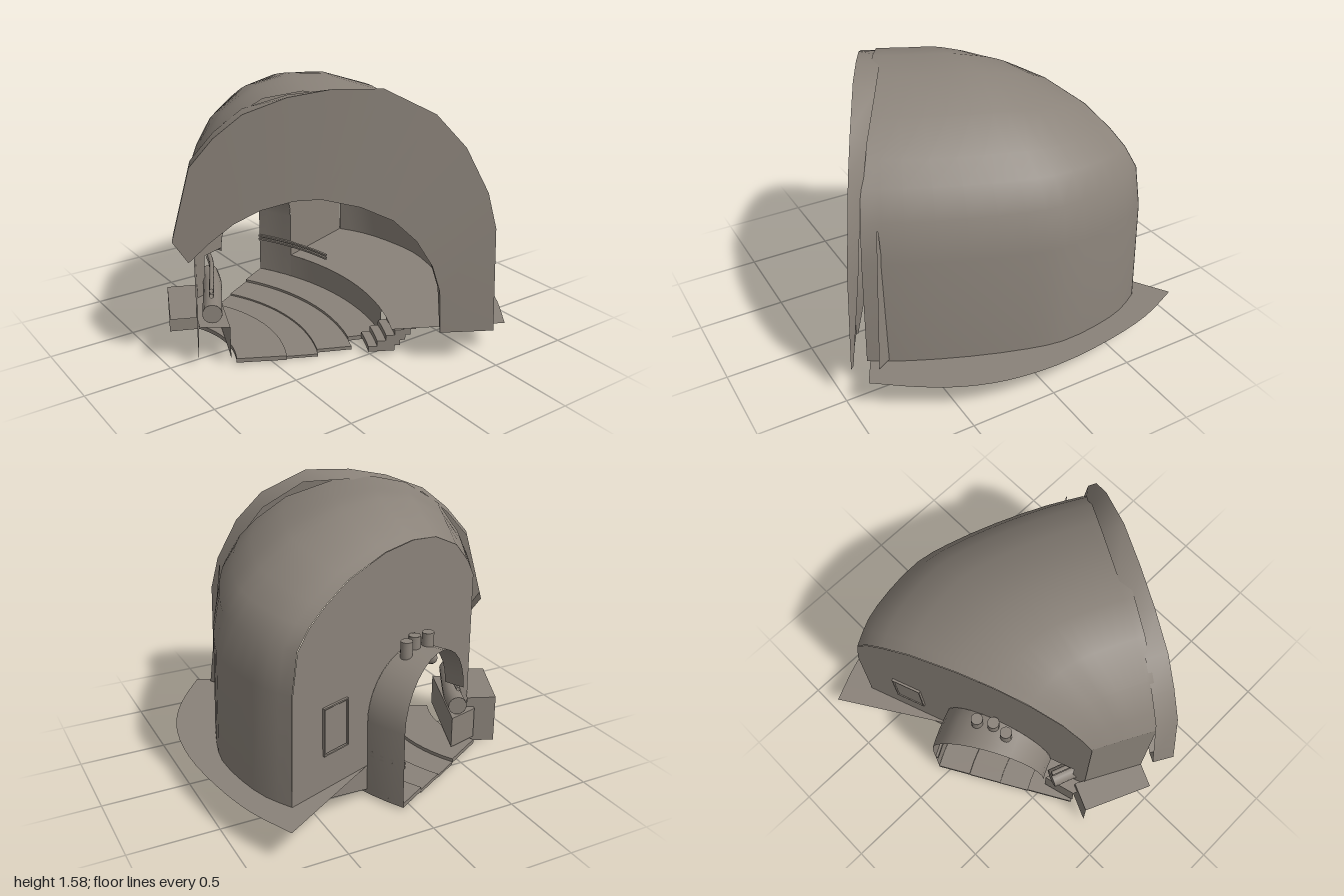
import * as THREE from 'three';
import { toCreasedNormals } from 'three/addons/utils/BufferGeometryUtils.js';

const CX = -1.155, CZ = -0.082;          // centre of the curved passage
const DEG = Math.PI / 180;
const lerp = THREE.MathUtils.lerp;

// point at radius r, angle a (degrees) and height y about the passage centre
const polar = (r, a, y) => [CX + r * Math.cos(a * DEG), y, CZ + r * Math.sin(a * DEG)];

export function createModel() {
  const model = new THREE.Group();
  const stone = new THREE.MeshStandardMaterial({ color: 0x8a8279, side: THREE.DoubleSide });
  stone.name = 'warm grey stone';

  const add = (name, geometry, parent = model) => {
    const mesh = new THREE.Mesh(geometry, stone);
    mesh.name = name;
    parent.add(mesh);
    return mesh;
  };

  // surface through a list of equally long cross-sections
  const loft = (sections, crease = 0.6) => {
    const m = sections[0].length, index = [];
    for (let i = 0; i < sections.length - 1; i++)
      for (let j = 0; j < m - 1; j++) {
        const a = i * m + j, b = a + m;
        index.push(a, a + 1, b, b, a + 1, b + 1);
      }
    const g = new THREE.BufferGeometry();
    g.setAttribute('position', new THREE.Float32BufferAttribute(sections.flat(2), 3));
    g.setIndex(index);
    return toCreasedNormals(g, crease);
  };

  // profile of [radius, height] points swept between two angles
  const sweepSections = (profile, a0, a1, n) => {
    const sections = [];
    for (let i = 0; i <= n; i++)
      sections.push(profile.map(([r, y]) => polar(r, lerp(a0, a1, i / n), y)));
    return sections;
  };
  const sweep = (profile, a0, a1, n = 12) => loft(sweepSections(profile, a0, a1, n));

  // solid curved bar of rectangular section, with closed ends
  const bar = (r0, r1, y0, y1, a0, a1, n = 12) => {
    const profile = [[r0, y0], [r0, y1], [r1, y1], [r1, y0], [r0, y0]];
    const cap = a => profile.map(() => polar((r0 + r1) / 2, a, (y0 + y1) / 2));
    return loft([cap(a0), ...sweepSections(profile, a0, a1, n), cap(a1)]);
  };
  const curve = points => new THREE.CatmullRomCurve3(points.map(p => new THREE.Vector3(...p)));
  const tube = (points, radius, sides = 14) => new THREE.TubeGeometry(curve(points), 16, radius, sides);

  // ---- domed hull ----
  const outerEdge = curve([
    [0.69, 0, -0.75], [0.77, 0, -0.6], [0.82, 0, -0.4], [0.84, 0, -0.15],
    [0.8, 0, 0.05], [0.7, 0, 0.35], [0.57, 0, 0.65], [0.46, 0, 0.85],
  ]);
  const hullProfile = [[1.006, 0.19], [0.993, 0.8], [0.965, 1.03], [0.91, 1.17], [0.84, 1.28], [0.72, 1.42],
    [0.53, 1.53], [0.38, 1.555], [0.25, 1.52], [0.12, 1.395], [0.04, 1.22], [0, 1.08]];
  const hullHeight = (y, t) =>
    y <= 1.03 ? y : 1.03 + (y - 1.03) * (0.7 + 0.29 * Math.sin(Math.min(1, 1.5 * t) * Math.PI / 2));
  const hullSections = [];
  for (let i = 0; i <= 14; i++) {
    const t = i / 14, o = outerEdge.getPoint(t);
    const ix = lerp(-0.69, -0.86, t), iz = lerp(-0.25, 0.07, t);
    hullSections.push(hullProfile.map(([s, y]) => [lerp(ix, o.x, s), hullHeight(y, t), lerp(iz, o.z, s)]));
  }
  add('hull', loft(hullSections, 0.8));
  add('innerSideWall', loft(hullSections.map(section => {
    const top = section[section.length - 1];
    return [[top[0], 0.05, top[2]], top];
  })));

  // ---- back wall with arched doorway ----
  const wall = new THREE.Shape();
  wall.moveTo(0.49, 0.05);
  wall.lineTo(0.57, 0.05);
  wall.lineTo(0.57, 0.48);
  wall.lineTo(0.72, 0.48);
  wall.absarc(1.06, 0.46, 0.34, Math.PI, 0, true);
  wall.lineTo(1.4, 0.04);
  for (const [s, y] of hullProfile) wall.lineTo(lerp(0.49, 1.962, s), hullHeight(y, 0));
  const backWall = new THREE.Group();
  backWall.name = 'backWall';
  backWall.position.set(CX, 0, CZ);
  backWall.rotation.y = 20 * DEG;
  model.add(backWall);
  add('backWallPanel', new THREE.ShapeGeometry(wall, 12), backWall);

  // hatch and its frame on the back wall
  add('hatch', new THREE.BoxGeometry(0.16, 0.25, 0.009), backWall).position.set(1.655, 0.53, -0.004);
  for (const s of [-1, 1]) {
    add('hatchPost', new THREE.BoxGeometry(0.008, 0.276, 0.014), backWall).position.set(1.655 + s * 0.087, 0.53, -0.007);
    add('hatchRail', new THREE.BoxGeometry(0.182, 0.008, 0.014), backWall).position.set(1.655, 0.53 + s * 0.134, -0.007);
  }

  // ---- vaulted rear passage ----
  const vault = [[0.72, 0.48]];
  for (let i = 0; i <= 14; i++) {
    const a = Math.PI * (1 - i / 14);
    vault.push([1.06 + 0.34 * Math.cos(a), 0.46 + 0.34 * Math.sin(a)]);
  }
  vault.push([1.4, 0.04]);
  add('rearVault', sweep(vault, -30, -20, 4));

  // ---- front portal ring: outer and inner outline, rim depth, chamfer and lean at each point ----
  const outer = [[-1, 0.79], [-0.91, 1.19], [-0.8, 1.34], [-0.67, 1.46], [-0.47, 1.54], [-0.27, 1.575],
    [-0.04, 1.57], [0.2, 1.43], [0.34, 1.25], [0.45, 1.0], [0.49, 0.8], [0.5, 0.2]];
  const inner = [[-0.93, 0.67], [-0.83, 0.78], [-0.72, 0.88], [-0.6, 0.95], [-0.45, 0.995], [-0.33, 1],
    [-0.15, 0.95], [0, 0.87], [0.11, 0.75], [0.19, 0.6], [0.23, 0.45], [0.24, 0.2]];
  const rimDepth = [0.12, 0.12, 0.12, 0.12, 0.13, 0.14, 0.14, 0.11, 0.09, 0.07, 0.06, 0.01];
  const chamfer = [0, 0, 0, 0, 0.03, 0.06, 0.08, 0.14, 0.18, 0.2, 0.2, 0.1];
  const lean = [0, 0, 0, 0, 0.01, 0.02, 0.03, 0.035, 0.03, 0.025, 0.015, 0];
  const onPortal = ([x, y], back = 0) => [x + back * 0.5, y, 0.677 + 0.569 * x - back * 0.866];
  const front = outer.map(([x, y], i) => [x, y, 0.677 + 0.569 * x - lean[i]]);
  const frontIn = inner.map(p => onPortal(p));
  const back = outer.map(([x, y], i) => onPortal(
    [lerp(x, inner[i][0], chamfer[i]), lerp(y, inner[i][1], chamfer[i])], rimDepth[i]));
  const backIn = inner.map((p, i) => onPortal(p, Math.min(0.1, rimDepth[i])));
  add('portalFace', loft([front, frontIn]));
  add('portalOuterRim', loft([front, back]));
  add('portalInnerRim', loft([frontIn, backIn]));
  add('portalEnd', loft([[front[0], back[0]], [frontIn[0], backIn[0]]]));
  add('sideFin', loft([
    [[0.51, 0.2, 0.72], [0.57, 0.2, 0.83]],
    [[0.49, 1.0, 0.76], [0.49, 1.0, 0.77]],
  ]));

  // ---- flat apron around the hull ----
  const apronEdge = curve([[0.79, 0.19, -0.96], [0.9, 0.19, -0.7], [0.97, 0.19, -0.38], [1, 0.19, -0.02],
    [0.97, 0.19, 0.28], [0.9, 0.19, 0.5], [0.79, 0.19, 0.7], [0.63, 0.19, 0.92]]).getPoints(21);
  add('apron', loft([
    apronEdge.map((p, i) => polar(1.4, -20 + 50 * i / 21, 0.19)),
    apronEdge.map(p => p.toArray()),
  ]));
  add('sideLedge', loft([
    [[-0.99, 0.3, 0.01], [-0.82, 0.3, -0.37]],
    [[-0.86, 0.3, 0.07], [-0.66, 0.3, -0.3]],
  ]));
  add('ledgePlate', loft([
    [[-0.82, 0.01, -0.37], [-0.82, 0.3, -0.37]],
    [[-0.66, 0.01, -0.3], [-0.66, 0.3, -0.3]],
  ]));

  // ---- passage floor, kerb wall, bench and steps ----
  add('floorInnerStrip', bar(0.54, 0.82, 0.01, 0.035, -30, 28));
  add('floorMiddleStrip', bar(0.82, 1.0, 0, 0.015, -30, 26));
  add('floorCentreStrip', bar(1.0, 1.2, 0.005, 0.025, -30, 24));
  add('floorOuterStrip', bar(1.2, 1.4, 0.015, 0.04, -30, 20));
  add('kerbWall', sweep([[1.4, 0.02], [1.4, 0.19]], -20, 20));
  add('bench', loft([
    [[-0.85, 0.24, 0.08], [-0.71, 0.24, 0.17], [-0.71, 0.05, 0.17]],
    [[-0.69, 0.24, -0.34], [-0.5, 0.24, -0.39], [-0.5, 0.05, -0.39]],
    [[-0.69, 0.05, -0.34], [-0.5, 0.05, -0.39], [-0.5, 0.05, -0.39]],
  ]));
  for (let i = 0; i < 5; i++)
    add('step', bar(1.28 + i * 0.05, 1.43 + i * 0.03, 0.03 + i * 0.032, 0.062 + i * 0.032, 20, 28, 3));

  // ---- pipes and cables ----
  const sidePath = y => [[-0.78, y, 0.1], [-0.68, y, -0.08], [-0.59, y, -0.25], [-0.54, y, -0.38]];
  add('mainPipe', tube(sidePath(0.31), 0.055));
  const ends = sidePath(0.31);
  for (const [p, turn] of [[ends[0], -0.5], [ends[3], Math.PI - 0.36]]) {
    const cap = add('mainPipeCap', new THREE.CircleGeometry(0.055, 14));
    cap.position.set(...p);
    cap.rotation.y = turn;
  }
  for (const y of [0.418, 0.448]) add('sideCable', tube(sidePath(y), 0.013, 8));
  for (const y of [0.26, 0.282]) add('wallRail', bar(1.385, 1.4, y - 0.006, y + 0.006, -30, -7, 8));

  // ceiling elbows through the rear vault
  for (const [x, z] of [[-0.26, -0.47], [-0.17, -0.48], [-0.09, -0.53]]) {
    add('ceilingPipe', tube([[x, 0.87, z], [x, 0.76, z], [x - 0.015, 0.71, z + 0.01], [x - 0.05, 0.69, z + 0.03]], 0.034));
    const cap = add('ceilingPipeCap', new THREE.CircleGeometry(0.034, 14));
    cap.position.set(x, 0.87, z);
    cap.rotation.x = -Math.PI / 2;
  }
  return model;
}
